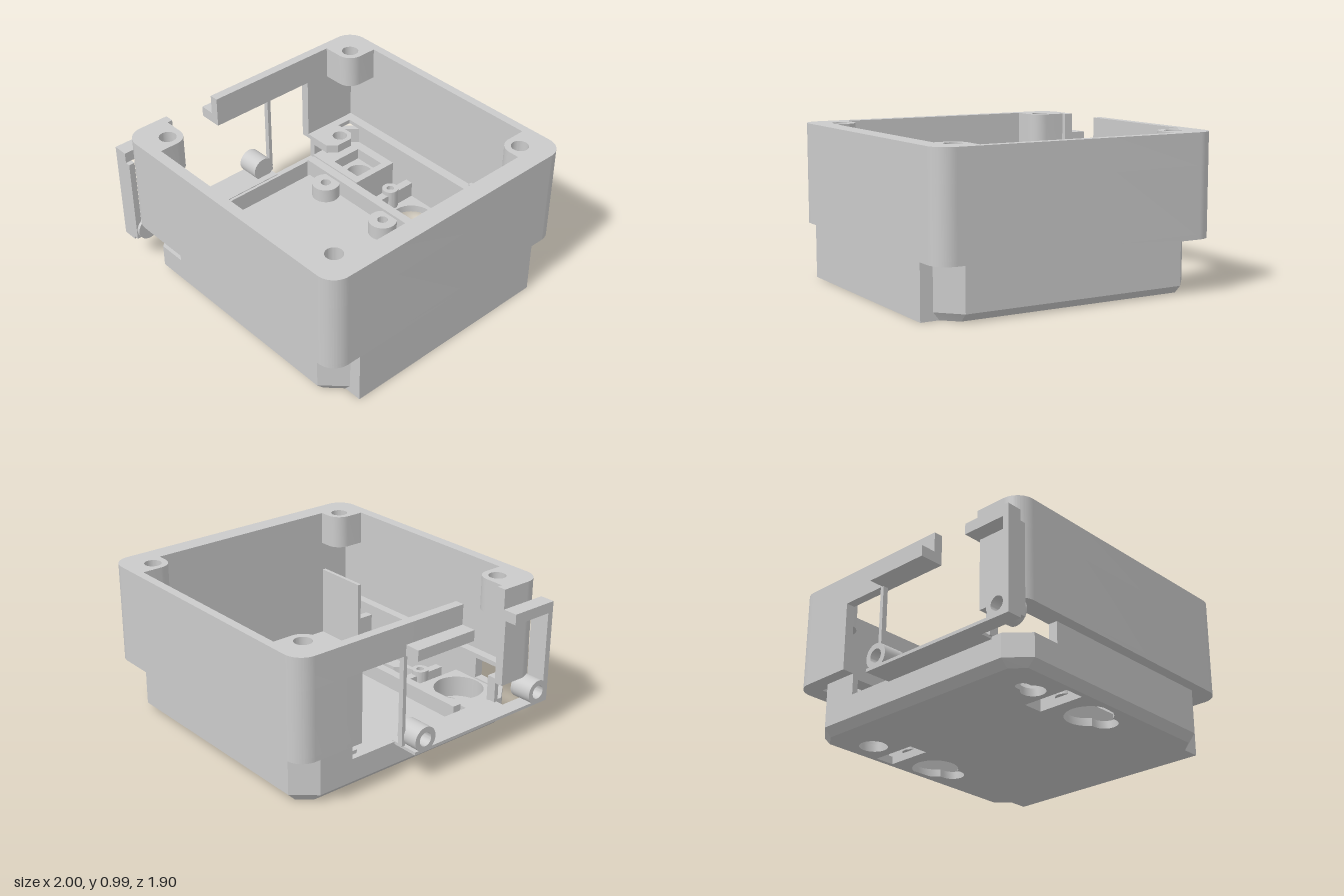
import * as THREE from 'three';
import { toCreasedNormals } from 'three/addons/utils/BufferGeometryUtils.js';

const plastic = new THREE.MeshStandardMaterial({ color: 0xcbcbcb });
plastic.name = 'grey plastic';

// Shape helpers: shape x is world x, shape y is world z
const poly = (pts) => new THREE.Shape(pts.map(([x, z]) => new THREE.Vector2(x, z)));
const rect = (x0, x1, z0, z1) => poly([[x0, z0], [x1, z0], [x1, z1], [x0, z1]]);
const disc = (x, z, r) => new THREE.Shape().absarc(x, z, r, 0, Math.PI * 2);

// Round hole with a narrower round slot at distance d along x (d may be negative)
function keyhole(x, z, R, d, r) {
  const a = Math.asin(r / R), pts = [];
  for (let i = 0; i <= 28; i++) {
    const t = a + (2 * Math.PI - 2 * a) * i / 28;
    pts.push([x + Math.sign(d) * R * Math.cos(t), z + R * Math.sin(t)]);
  }
  for (let i = 0; i <= 14; i++) {
    const t = -Math.PI / 2 + Math.PI * i / 14;
    pts.push([x + d + Math.sign(d) * r * Math.cos(t), z + r * Math.sin(t)]);
  }
  return poly(pts);
}

function withHoles(shape, ...holes) {
  shape.holes.push(...holes);
  return shape;
}

// Flat shape raised from y0 to y1
function slabGeometry(shape, y0, y1) {
  const g = new THREE.ExtrudeGeometry(shape, { depth: y1 - y0, bevelEnabled: false, curveSegments: 20 });
  return g.rotateX(Math.PI / 2).translate(0, y1, 0);
}

// Rounded upper wall, open on the left side between z0 and z1
function wallShape(z0, z1, [ix0, ix1, iz0, iz1]) {
  const r = 0.12, x0 = -0.9, x1 = 1, za = -0.955, zb = 0.94;
  const s = new THREE.Shape();
  s.moveTo(x0, z0);
  s.lineTo(x0, za + r);
  s.absarc(x0 + r, za + r, r, Math.PI, Math.PI * 1.5);
  s.absarc(x1 - r, za + r, r, -Math.PI / 2, 0);
  s.absarc(x1 - r, zb - r, r, 0, Math.PI / 2);
  s.absarc(x0 + r, zb - r, r, Math.PI / 2, Math.PI);
  s.lineTo(x0, z1);
  for (const [x, z] of [[ix0, z1], [ix0, iz1], [ix1, iz1], [ix1, iz0], [ix0, iz0], [ix0, z0]]) s.lineTo(x, z);
  return s;
}

export function createModel() {
  const model = new THREE.Group();
  model.name = 'enclosure';
  const add = (name, geometry) => {
    const m = new THREE.Mesh(toCreasedNormals(geometry, 0.5), plastic);
    m.name = name;
    model.add(m);
  };
  const slab = (name, shape, y0, y1) => add(name, slabGeometry(shape, y0, y1));
  const box = (name, x0, x1, y0, y1, z0, z1) => slab(name, rect(x0, x1, z0, z1), y0, y1);

  const baseOutline = [[-0.82, -0.74], [-0.7, -0.88], [0.79, -0.88], [0.92, -0.74], [1, -0.74],
    [1, 0.73], [0.92, 0.73], [0.79, 0.87], [-0.7, 0.87], [-0.82, 0.73]];
  const baseInner = [[-0.78, -0.72], [-0.68, -0.835], [0.77, -0.835], [0.875, -0.72],
    [0.875, 0.71], [0.77, 0.81], [-0.68, 0.81], [-0.78, 0.7]];
  const baseCavity = [-0.78, 0.875, -0.835, 0.81];
  const topCavity = [-0.84, 0.875, -0.9, 0.87];

  // Floor with mounting holes; its lower outer edge is pulled in as a chamfer
  const floor = slabGeometry(withHoles(poly(baseOutline),
    keyhole(0.045, -0.655, 0.15, 0.155, 0.08), keyhole(0.045, 0.635, 0.15, 0.155, 0.08),
    keyhole(-0.45, 0.635, 0.075, -0.09, 0.042), disc(-0.49, -0.66, 0.09),
    rect(-0.335, -0.2, -0.8, -0.49), rect(-0.335, -0.2, 0.47, 0.785)), 0, 0.05);
  const p = floor.attributes.position;
  for (let i = 0; i < p.count; i++) {
    if (p.getY(i) > 0.01) continue;
    const x = p.getX(i);
    p.setX(i, x < 0.95 ? THREE.MathUtils.clamp(x, -0.77, 0.88) : x);
    p.setZ(i, THREE.MathUtils.clamp(p.getZ(i), -0.83, 0.82));
  }
  floor.computeVertexNormals();
  add('floor', floor);

  // Lower walls, cut away at the front left corner above y = 0.2
  slab('lowerWall', withHoles(poly(baseOutline), poly(baseInner)), 0.05, 0.2);
  slab('lowerWallTop', poly([[-0.82, -0.5], ...baseOutline.slice(0, 8), [-0.51, 0.87], [-0.51, 0.81],
    ...baseInner.slice(0, 6).reverse(), [-0.78, -0.5]]), 0.2, 0.34);
  box('lowerWallStub', -0.845, -0.78, 0.2, 0.34, 0.64, 0.67);

  // Upper walls
  slab('ledge', wallShape(-0.5, 0.64, baseCavity), 0.34, 0.37);
  slab('upperWall', wallShape(-0.5, 0.64, topCavity), 0.37, 0.79);
  slab('rimWall', wallShape(0.27, 0.62, topCavity), 0.79, 0.99);

  // Screw bosses in the corners
  for (const [x, z, sx, sz] of [[-0.71, -0.77, 1, 1], [0.805, -0.77, -1, 1], [-0.71, 0.75, 1, -1], [0.805, 0.75, -1, -1]]) {
    const r = 0.095, pts = [[-0.135, r], [-0.135, -0.135], [r, -0.135]];
    for (let i = 0; i <= 10; i++) {
      const t = Math.PI / 2 * i / 10;
      pts.push([r * Math.cos(t), r * Math.sin(t)]);
    }
    const outline = poly(pts.map(([u, v]) => [x + sx * u, z + sz * v]));
    slab('cornerBoss', withHoles(outline, disc(x, z, 0.055)), 0.77, 0.99);
  }

  // Raised centre and right floors, long ribs and board posts
  box('centreFloor', -0.755, 0.49, 0.05, 0.1, -0.43, 0.41);
  box('rightFloor', 0.49, 0.876, 0.05, 0.09, -0.69, 0.66);
  box('centreRib', -0.775, 0.5, 0.05, 0.22, -0.49, -0.43);
  box('centreRib', -0.72, 0.5, 0.05, 0.2, 0.41, 0.47);
  for (const x of [-0.51, 0.05]) slab('boardPost', withHoles(disc(x, -0.365, 0.095), disc(x, -0.365, 0.035)), 0.1, 0.2);

  // Back left block with a square recess over a round hole, and a thin cable flange above
  slab('backBlock', withHoles(poly([[-0.78, -0.72], [-0.68, -0.835], [-0.335, -0.835], [-0.335, -0.49], [-0.78, -0.49]]),
    rect(-0.62, -0.385, -0.77, -0.545)), 0.05, 0.23);
  slab('backBlockTube', withHoles(rect(-0.62, -0.385, -0.77, -0.545), disc(-0.49, -0.66, 0.09)), 0.05, 0.15);
  slab('cableFlange', withHoles(poly([[-0.8, -0.73], [-0.65, -0.73], [-0.6, -0.68], [-0.6, -0.56], [-0.65, -0.5], [-0.8, -0.5]]),
    disc(-0.68, -0.65, 0.05)), 0.31, 0.37);

  // Front left block with a round pocket
  slab('frontBlock', withHoles(poly([[-0.78, 0.47], [-0.335, 0.47], [-0.335, 0.81], [-0.68, 0.81], [-0.78, 0.7]]),
    disc(-0.535, 0.635, 0.16)), 0.05, 0.19);

  // Cross ribs with small posts, end partitions and guide rails on both sides
  for (const [z0, z1, pz, w0, w1, g0, g1] of [[-0.835, -0.49, -0.655, -0.715, -0.69, -0.835, -0.715],
    [0.47, 0.81, 0.635, 0.66, 0.685, 0.685, 0.81]]) {
    box('crossRib', -0.2, -0.145, 0.05, 0.16, z0, z1);
    slab('smallPost', withHoles(disc(-0.175, pz, 0.055), disc(-0.175, pz, 0.025)), 0.05, 0.19);
    box('endPartition', 0.49, 0.876, 0.05, 0.57, w0, w1);
    box('guideRail', 0.515, 0.57, 0.05, 0.3, g0, g1);
  }

  // Left side bracket: bottom bar, posts, top tabs and hinge barrels
  box('bracketBar', -1, -0.8, 0.185, 0.205, -0.175, 0.66);
  box('bracketBarEnd', -1, -0.9, 0.185, 0.205, 0.66, 0.95);
  box('bracketFrontPost', -1, -0.865, 0.205, 0.79, 0.91, 0.95);
  box('bracketBackPost', -0.9, -0.865, 0.205, 0.79, -0.19, -0.165);
  box('bracketTab', -1, -0.88, 0.79, 0.86, -0.175, 0.27);
  box('bracketTab', -1, -0.9, 0.79, 0.86, 0.62, 0.95);
  for (const z of [-0.095, 0.865]) {
    // Each barrel is a ring with a closed inner end
    for (const [name, shape, x, depth] of [
      ['hingeBarrel', withHoles(disc(0, 0, 0.08), disc(0, 0, 0.045)), -1, 0.135],
      ['hingeBarrelEnd', disc(0, 0, 0.08), -0.865, 0.02]]) {
      const g = new THREE.ExtrudeGeometry(shape, { depth, bevelEnabled: false, curveSegments: 20 });
      add(name, g.rotateY(Math.PI / 2).translate(x, 0.265, z));
    }
  }
  return model;
}
